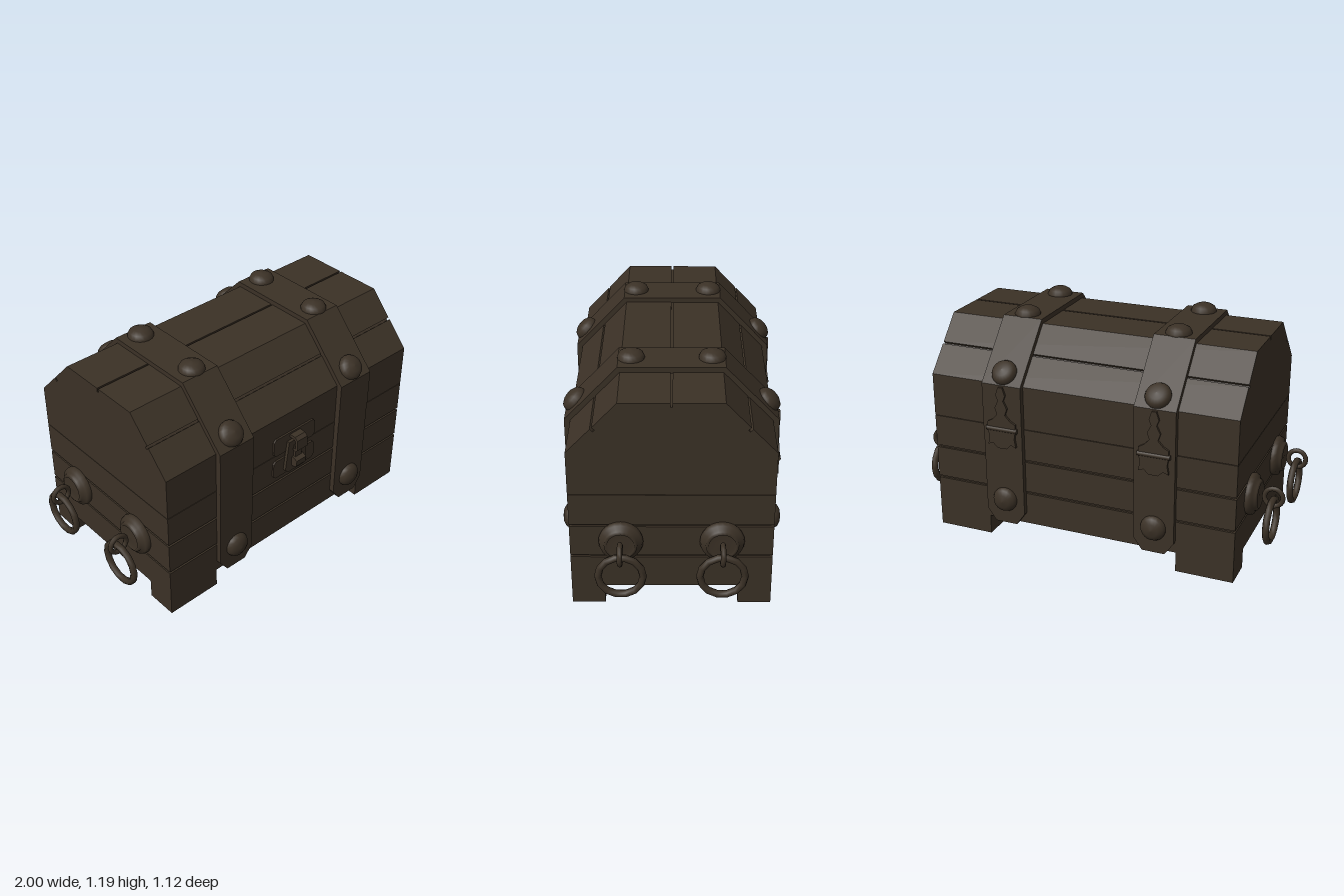
import * as THREE from 'three';

export function createModel() {
  const root = new THREE.Group();
  root.name = 'chest';
  const model = new THREE.Group();
  model.name = 'chestParts';
  model.position.z = 0.005;
  root.add(model);

  const mat = new THREE.MeshStandardMaterial({ color: 0x3b3126 });
  mat.name = 'darkBrown';

  const add = (parent, name, geo, x = 0, y = 0, z = 0) => {
    const m = new THREE.Mesh(geo, mat);
    m.name = name;
    m.position.set(x, y, z);
    parent.add(m);
    return m;
  };
  // box from x, y and z ranges
  const box = (parent, name, x0, x1, y0, y1, z0, z1) =>
    add(parent, name, new THREE.BoxGeometry(x1 - x0, y1 - y0, z1 - z0),
      (x0 + x1) / 2, (y0 + y1) / 2, (z0 + z1) / 2);
  const shapeOf = pts => new THREE.Shape(pts.map(p => new THREE.Vector2(p[0], p[1])));
  const mirrored = half => [...half, ...half.slice().reverse().map(([u, y]) => [-u, y])];
  const plate = (pts, depth) =>
    new THREE.ExtrudeGeometry(shapeOf(pts), { depth, bevelEnabled: false });
  // (z, y) profile extruded along x
  const alongX = (pts, width) =>
    plate(pts, width).translate(0, 0, -width / 2).rotateY(Math.PI / 2);

  // Chest body: planks around a slightly smaller core, so grooves show
  box(model, 'core', -0.808, 0.808, 0.11, 0.86, -0.478, 0.478);
  [[0.105, 0.276], [0.288, 0.454], [0.466, 0.634]].forEach(([y0, y1]) =>
    box(model, 'bodyPlank', -0.82, 0.82, y0, y1, -0.49, 0.49));

  // Faceted lid with grooves in its top and slopes
  add(model, 'lid', alongX(mirrored([
    [0.005, 1.105], [0.005, 1.125], [0.245, 1.125], [0.363, 0.999], [0.349, 0.986],
    [0.357, 0.977], [0.3716, 0.9906], [0.49, 0.865], [0.49, 0.637],
  ]), 1.64));

  // Feet
  for (const sx of [-1, 1]) for (const sz of [-1, 1])
    add(model, 'foot', new THREE.BoxGeometry(0.3, 0.11, 0.163), sx * 0.67, 0.055, sz * 0.4085);

  // Straps, rivets and hinges
  const rivet = new THREE.LatheGeometry([[0.066, 0], [0.066, 0.01], [0.057, 0.028],
    [0.034, 0.041], [0, 0.046]].map(p => new THREE.Vector2(...p)), 18);
  const lidOuter = [[0.52, 0.635], [0.52, 0.87], [0.257, 1.15]];
  const lidInner = [[0.485, 0.635], [0.485, 0.862], [0.243, 1.12]];
  const flip = pts => pts.slice().reverse().map(([u, y]) => [-u, y]);
  const lidBand = alongX([...lidOuter, ...flip(lidOuter), ...lidInner.map(([u, y]) => [-u, y]),
    ...lidInner.slice().reverse()], 0.215);
  const lowerBand = plate([[-0.107, 0.635], [-0.107, 0.165], [-0.06, 0.1],
    [0.06, 0.1], [0.107, 0.165], [0.107, 0.635]], 0.034);
  const hingeTop = plate(mirrored([[0.012, 0.862], [0.026, 0.82], [0.014, 0.79], [0.034, 0.75],
    [0.022, 0.715], [0.05, 0.685], [0.078, 0.67], [0.078, 0.638]]), 0.016);
  const hingeBottom = plate(mirrored([[0.078, 0.632], [0.07, 0.59], [0.078, 0.545],
    [0.05, 0.555], [0.025, 0.53]]), 0.016);
  const barrel = new THREE.CylinderGeometry(0.013, 0.013, 0.17, 10).rotateZ(Math.PI / 2);
  const slope = Math.atan2(0.28, 0.263);

  for (const x of [-0.41, 0.41]) {
    const strap = new THREE.Group();
    strap.name = 'strap';
    strap.position.x = x;
    model.add(strap);
    add(strap, 'lidBand', lidBand);
    for (const s of [1, -1]) {
      const side = new THREE.Group();
      side.name = s > 0 ? 'frontStrapSide' : 'backStrapSide';
      side.rotation.y = s > 0 ? 0 : Math.PI;
      strap.add(side);
      add(side, 'lowerBand', lowerBand, 0, 0, 0.484);
      add(side, 'wallRivet', rivet, 0, 0.237, 0.516).rotation.x = Math.PI / 2;
      add(side, 'slopeRivet', rivet, 0, 0.921, 0.472).rotation.x = slope;
      add(side, 'topRivet', rivet, 0, 1.148, 0.195);
      if (s < 0) {
        add(side, 'hingeUpperLeaf', hingeTop, 0, 0, 0.516);
        add(side, 'hingeLowerLeaf', hingeBottom, 0, 0, 0.516);
        add(side, 'hingeBarrel', barrel, 0, 0.635, 0.526);
      }
    }
  }

  // Ring handles on both ends
  const mount = new THREE.LatheGeometry([[0.105, 0], [0.108, 0.012], [0.102, 0.03], [0.083, 0.033],
    [0.08, 0.048], [0.066, 0.055], [0.062, 0.043], [0, 0.05]].map(p => new THREE.Vector2(...p)), 24)
    .rotateZ(-Math.PI / 2);
  const eye = new THREE.TorusGeometry(0.047, 0.013, 8, 18);
  const ring = new THREE.TorusGeometry(0.108, 0.018, 8, 14).rotateY(Math.PI / 2);
  for (const s of [1, -1]) for (const z of [-0.243, 0.243]) {
    const handle = new THREE.Group();
    handle.name = s > 0 ? 'leftHandle' : 'rightHandle';
    handle.position.set(s * 0.82, 0, z);
    handle.rotation.y = s > 0 ? 0 : Math.PI;
    model.add(handle);
    add(handle, 'mount', mount, 0, 0.378, 0);
    add(handle, 'eye', eye, 0.12, 0.378, 0);
    add(handle, 'ring', ring, 0.115, 0.249, 0);
  }

  // Front latch: two backing plates, hasp and curled hook
  const latch = new THREE.Group();
  latch.name = 'latch';
  model.add(latch);
  const chamfered = (w, h, c) => plate([[-w, -h + c], [-w + c, -h], [w - c, -h], [w, -h + c],
    [w, h - c], [w - c, h], [-w + c, h], [-w, h - c]], 0.014);
  add(latch, 'upperPlate', chamfered(0.143, 0.053, 0.015), 0, 0.693, 0.486);
  add(latch, 'lowerPlate', chamfered(0.143, 0.053, 0.015), 0, 0.552, 0.486);
  add(latch, 'hasp', plate([[-0.055, 0.7], [-0.075, 0.53], [-0.055, 0.51], [0.055, 0.51],
    [0.075, 0.53], [0.055, 0.7]], 0.018), 0, 0, 0.498);
  // hook profile is mirrored in u because the extrusion turns u to -z
  add(latch, 'hook', alongX([[-0.5, 0.735], [-0.535, 0.735], [-0.553, 0.72], [-0.555, 0.66],
    [-0.54, 0.645], [-0.525, 0.65], [-0.525, 0.663], [-0.54, 0.665], [-0.54, 0.71],
    [-0.525, 0.718], [-0.5, 0.718]].reverse(), 0.07));
  add(latch, 'catch', alongX([[-0.5, 0.545], [-0.5, 0.6], [-0.53, 0.6], [-0.553, 0.59],
    [-0.55, 0.555], [-0.53, 0.545]], 0.066));
  box(latch, 'link', -0.022, 0.022, 0.58, 0.67, 0.51, 0.53);

  return root;
}
